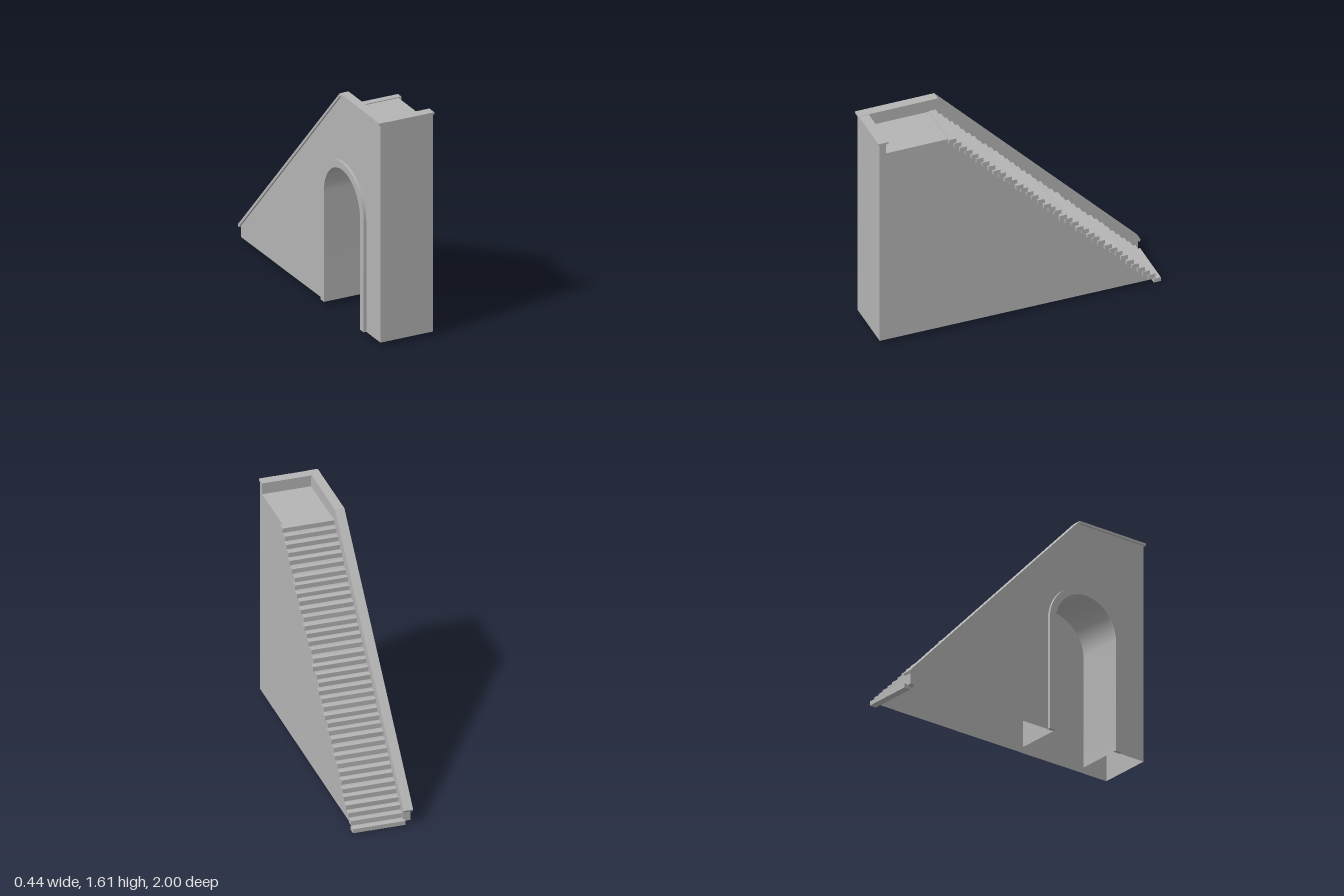
import * as THREE from 'three';
import { toCreasedNormals } from 'three/addons/utils/BufferGeometryUtils.js';

const stone = new THREE.MeshStandardMaterial({ color: 0xb4b4b4, side: THREE.DoubleSide });
stone.name = 'grey stone';

const LEFT = -0.2, RIGHT = 0.19, NICHE_BACK = 0.12;
const ARCH_Z = 0.485, SPRING_Y = 0.825, ARCH_R = 0.255, TRIM_R = 0.305;
const FOOT = 0.03, DECK = 1.52;

// Small seeded random numbers for the worn steps
let seed = 11;
const rand = () => (seed = (seed * 16807) % 2147483647) / 2147483647;

export function createModel() {
  const model = new THREE.Group();
  model.name = 'stairway';

  const add = (name, geometry, x = 0, y = 0, z = 0) => {
    const mesh = new THREE.Mesh(geometry, stone);
    mesh.name = name;
    mesh.position.set(x, y, z);
    model.add(mesh);
    return mesh;
  };
  const box = (name, x0, x1, y0, y1, z0, z1) =>
    add(name, new THREE.BoxGeometry(x1 - x0, y1 - y0, z1 - z0),
      (x0 + x1) / 2, (y0 + y1) / 2, (z0 + z1) / 2);

  // Side profiles are drawn as (z, y) points, then turned to face along x
  const shapeOf = (pts) => new THREE.Shape(pts.map(([z, y]) => new THREE.Vector2(z, y)));
  const panel = (name, pts, x) => {
    add(name, new THREE.ShapeGeometry(shapeOf(pts)), x).rotation.y = -Math.PI / 2;
  };
  const slab = (name, pts, x0, x1) => {
    const geo = new THREE.ExtrudeGeometry(shapeOf(pts), { depth: x1 - x0, bevelEnabled: false });
    add(name, toCreasedNormals(geo, 0.5), x1).rotation.y = -Math.PI / 2;
  };

  // Open sheet that follows a (z, y) path across the width
  const sheet = (name, pts, x0, x1) => {
    const v = [];
    for (let i = 0; i < pts.length - 1; i++) {
      const [za, ya] = pts[i], [zb, yb] = pts[i + 1];
      v.push(x0, ya, za, x1, ya, za, x1, yb, zb, x0, ya, za, x1, yb, zb, x0, yb, zb);
    }
    const geo = new THREE.BufferGeometry();
    geo.setAttribute('position', new THREE.Float32BufferAttribute(v, 3));
    add(name, toCreasedNormals(geo, 0.5), 0);
  };

  // Arch outline from the front foot, over the top, to the back foot
  const archPath = (r) => {
    const pts = [[ARCH_Z + r, FOOT]];
    for (let i = 0; i <= 24; i++) {
      const a = (i / 24) * Math.PI;
      pts.push([ARCH_Z + r * Math.cos(a), SPRING_Y + r * Math.sin(a)]);
    }
    pts.push([ARCH_Z - r, FOOT]);
    return pts;
  };

  // Hollow body: plain side, front, deck and slope under the steps, open below
  const profile = [[0.99, FOOT], [0.99, DECK], [0.485, DECK], [-0.97, 0.02]];
  panel('plainSideWall', profile, RIGHT);
  sheet('frontDeckAndSlope', profile, LEFT, RIGHT);

  // Side wall with the arched opening, rising to the parapet
  panel('archedSideWall', [
    [0.99, FOOT], [0.99, 1.6], [0.44, 1.6], [-0.98, 0.1], [-0.98, 0.02],
    ...archPath(ARCH_R).reverse(),
  ], LEFT);

  // Niche behind the arch
  sheet('nicheReveal', archPath(ARCH_R), LEFT, NICHE_BACK);
  panel('nicheBack', archPath(ARCH_R), NICHE_BACK);

  // Raised trim around the arch
  slab('archTrim', [...archPath(TRIM_R), ...archPath(ARCH_R).reverse()], -0.22, -0.195);

  // Parapet beside the stair and across the front, with overhanging caps
  slab('sideParapet', [
    [0.985, 1.5], [0.985, 1.6], [0.44, 1.6], [-0.98, 0.1], [-0.98, 0.02], [-0.95, 0.02], [0.485, 1.5],
  ], -0.199, -0.15);
  slab('sideParapetCap', [
    [1, 1.595], [1, 1.612], [0.44, 1.612], [-1, 0.105], [-0.99, 0.088], [0.446, 1.595],
  ], -0.213, -0.148);
  box('frontParapet', LEFT, RIGHT, 1.5, 1.597, 0.945, 0.99);
  box('frontParapetCap', -0.215, 0.195, 1.595, 1.61, 0.93, 1);

  // Worn steps with slightly uneven ends and heights
  const COUNT = 38;
  for (let i = 0; i < COUNT; i++) {
    const t = i / (COUNT - 1);
    const top = 0.03 + t * 1.493 + (i ? (rand() - 0.5) * 0.007 : 0);
    const z = -1 + t * 1.455 + (i ? (rand() - 0.5) * 0.007 : 0);
    const end = i === 20 ? 0.22 : 0.204 + rand() * 0.013;
    const step = box('step', -0.16, end, top - (i ? 0.033 : 0.03), top, z, z + 0.05);
    if (i) step.rotation.x = (rand() - 0.5) * 0.08;
  }
  return model;
}
